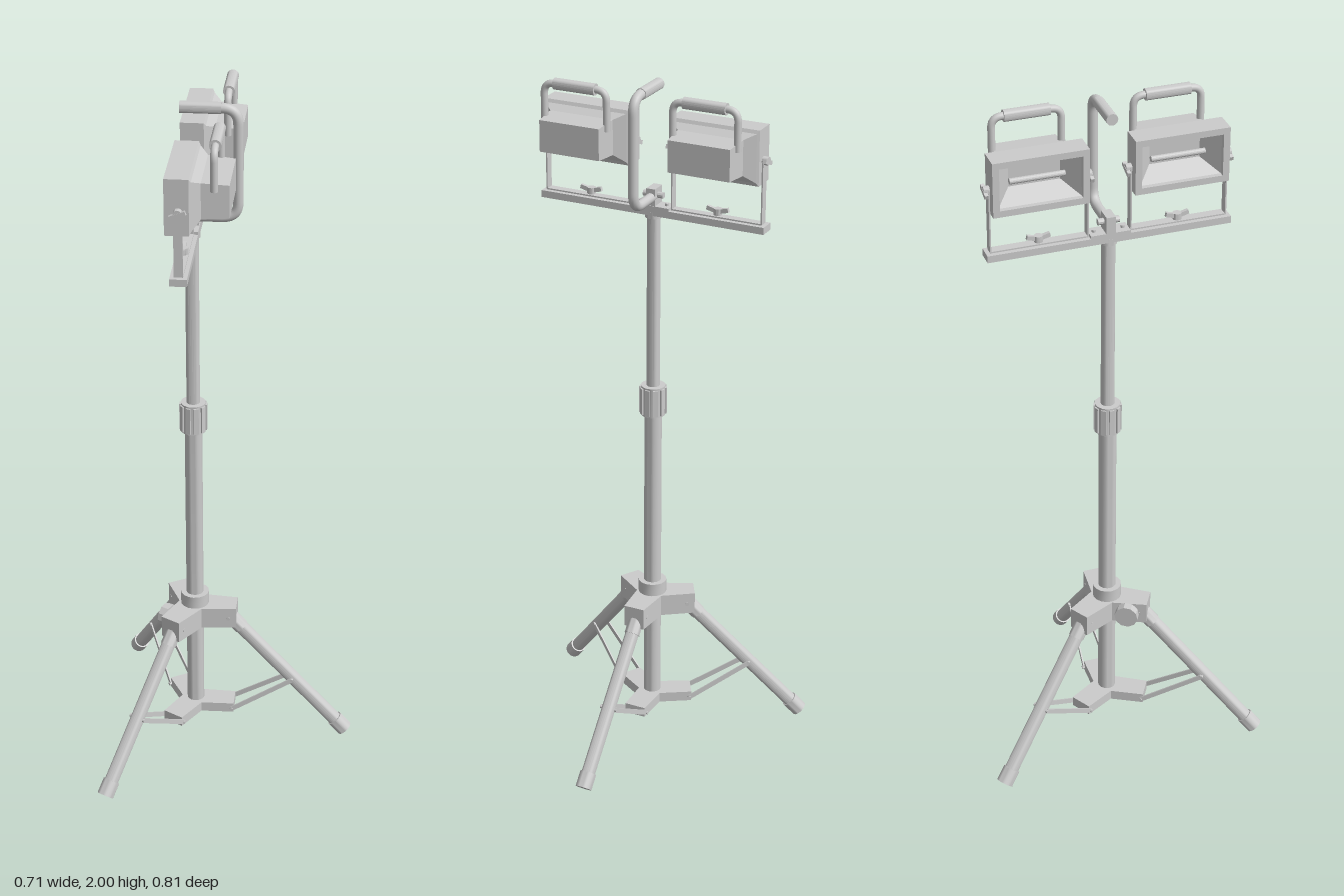
import * as THREE from 'three';
import { toCreasedNormals } from 'three/addons/utils/BufferGeometryUtils.js';

const AXIS = -0.113; // x of the pole
const mat = new THREE.MeshStandardMaterial({ color: 0xcccccc, side: THREE.DoubleSide });
const V = (x, y, z) => new THREE.Vector3(x, y, z);

function add(parent, name, geo, x = 0, y = 0, z = 0) {
  const m = new THREE.Mesh(geo, mat);
  m.name = name;
  m.position.set(x, y, z);
  parent.add(m);
  return m;
}
const box = (p, n, w, h, d, x, y, z) => add(p, n, new THREE.BoxGeometry(w, h, d), x, y, z);
const cyl = (p, n, r, h, x, y, z, sides = 24) =>
  add(p, n, toCreasedNormals(new THREE.CylinderGeometry(r, r, h, sides), 0.6), x, y, z);

// cylinder between two points
function rod(p, name, a, b, r, sides = 24) {
  const m = cyl(p, name, r, a.distanceTo(b), 0, 0, 0, sides);
  m.position.copy(a).lerp(b, 0.5);
  m.quaternion.setFromUnitVectors(V(0, 1, 0), b.clone().sub(a).normalize());
  return m;
}

// tube along straight runs with rounded corners
function bentTube(p, name, pts, corner, r) {
  const path = new THREE.CurvePath();
  let from = pts[0];
  for (let i = 1; i < pts.length - 1; i++) {
    const toward = (q) => pts[i].clone().add(q.clone().sub(pts[i]).setLength(corner));
    const a = toward(pts[i - 1]), b = toward(pts[i + 1]);
    path.add(new THREE.LineCurve3(from, a));
    path.add(new THREE.QuadraticBezierCurve3(a, pts[i], b));
    from = b;
  }
  path.add(new THREE.LineCurve3(from, pts[pts.length - 1]));
  return add(p, name, new THREE.TubeGeometry(path, 72, r, 14));
}

// rectangular rings [x, yMin, yMax, halfZ] joined and capped at both ends
function loftRects(rings) {
  const pos = [];
  const R = rings.map(([x, a, b, z]) => [[x, a, -z], [x, b, -z], [x, b, z], [x, a, z]]);
  const quad = (a, b, c, d) => pos.push(...a, ...b, ...c, ...a, ...c, ...d);
  for (let k = 0; k < R.length - 1; k++)
    for (let i = 0, j; i < 4; i++) {
      j = (i + 1) % 4;
      quad(R[k][i], R[k][j], R[k + 1][j], R[k + 1][i]);
    }
  const s = R[0], e = R[R.length - 1];
  quad(s[3], s[2], s[1], s[0]);
  quad(e[0], e[1], e[2], e[3]);
  const g = new THREE.BufferGeometry();
  g.setAttribute('position', new THREE.Float32BufferAttribute(pos, 3));
  g.computeVertexNormals();
  return g;
}

// three-armed hollow hub, open underneath
function hub(p, name, y, height, reach, half, valley, wall) {
  const outline = (t) => {
    const pts = [];
    for (let k = 0; k < 3; k++) {
      const a = k * Math.PI * 2 / 3, c = Math.cos(a), s = Math.sin(a);
      const at = (u, v) => pts.push(new THREE.Vector2(u * c - v * s, u * s + v * c));
      at((valley - t * 1.15) * 0.5, -(valley - t * 1.15) * 0.866);
      at(reach - t, -half + t);
      at(reach - t, half - t);
    }
    return pts;
  };
  const g = new THREE.Group();
  g.name = name;
  g.position.set(AXIS, y, 0);
  p.add(g);
  const layer = (n, shape, depth, yy) => {
    const geo = new THREE.ExtrudeGeometry(shape, { depth, bevelEnabled: false });
    add(g, n, geo.rotateX(-Math.PI / 2), 0, yy, 0);
  };
  const walls = new THREE.Shape(outline(0));
  walls.holes.push(new THREE.Path(outline(wall)));
  layer('hubWalls', walls, height - wall, 0);
  layer('hubTop', new THREE.Shape(outline(0)), wall, height - wall);
}

function wingNut(p, x, y, z) {
  const g = new THREE.Group();
  g.name = 'wingNut';
  g.position.set(x, y, z);
  cyl(g, 'nutCore', 0.012, 0.018, 0, 0, 0, 12);
  for (const s of [-1, 1]) box(g, 'nutWing', 0.01, 0.012, 0.024, 0, 0.005, s * 0.02).rotation.x = -s * 0.25;
  p.add(g);
  return g;
}

function makeLeg() {
  const leg = new THREE.Group();
  leg.name = 'leg';
  const top = V(0.085, 0.421, 0), foot = V(0.448, 0.016, 0);
  const at = (t) => top.clone().lerp(foot, t);
  rod(leg, 'legTube', top, at(0.97), 0.02);
  rod(leg, 'legCollar', at(0.06), at(0.14), 0.0225);
  rod(leg, 'footCap', at(0.915), foot, 0.024);
  rod(leg, 'hingePin', V(0.1, 0.41, -0.034), V(0.1, 0.41, 0.034), 0.006, 10);
  // paired flat braces down to the lower hub
  const pin = V(0.288, 0.195, 0);
  rod(leg, 'bracePin', pin.clone().setZ(-0.026), pin.clone().setZ(0.026), 0.005, 10);
  for (const s of [-1, 1]) {
    const a = V(0.11, 0.09, s * 0.035), b = pin.clone().setZ(s * 0.022);
    const strip = box(leg, 'brace', 0.004, 0.014, a.distanceTo(b), 0, 0, 0);
    strip.position.copy(a).lerp(b, 0.5);
    strip.lookAt(b);
    rod(leg, 'braceRivet', V(0.11, 0.09, s * 0.03), V(0.11, 0.09, s * 0.04), 0.005, 10);
  }
  return leg;
}

function makeLamp() {
  const lamp = new THREE.Group();
  lamp.name = 'lamp';
  // one skin: reflector floor, opening, rim, frame, tapered housing
  add(lamp, 'housing', loftRects([
    [-0.085, 1.81, 1.865, 0.07], [-0.135, 1.778, 1.897, 0.112], [-0.149, 1.778, 1.897, 0.112],
    [-0.149, 1.76, 1.915, 0.13], [-0.085, 1.76, 1.915, 0.13], [-0.08, 1.77, 1.906, 0.124],
    [-0.058, 1.793, 1.892, 0.095], [0.015, 1.797, 1.886, 0.09],
  ]));
  rod(lamp, 'bulb', V(-0.11, 1.838, -0.075), V(-0.11, 1.838, 0.075), 0.008, 14);
  // carrying handle
  const hx = -0.024;
  bentTube(lamp, 'lampHandle', [V(hx, 1.87, -0.094), V(hx, 1.981, -0.094), V(hx, 1.981, 0.094), V(hx, 1.87, 0.094)], 0.03, 0.01);
  rod(lamp, 'lampGrip', V(hx, 1.981, -0.062), V(hx, 1.981, 0.062), 0.016);
  // U-shaped yoke with side knobs
  box(lamp, 'yokeBase', 0.024, 0.004, 0.268, AXIS, 1.648, 0);
  for (const s of [-1, 1]) {
    box(lamp, 'yokeArm', 0.024, 0.18, 0.004, AXIS, 1.738, s * 0.133);
    rod(lamp, 'knobShaft', V(AXIS, 1.825, s * 0.125), V(AXIS, 1.825, s * 0.146), 0.012, 12);
    box(lamp, 'knobWing', 0.044, 0.012, 0.01, AXIS, 1.822, s * 0.142).rotation.z = 0.35;
  }
  wingNut(lamp, AXIS, 1.661, 0);
  return lamp;
}

export function createModel() {
  const model = new THREE.Group();
  model.name = 'tripodWorkLight';

  // telescopic pole
  cyl(model, 'lowerPole', 0.025, 0.97, AXIS, 0.565, 0);
  cyl(model, 'upperPole', 0.019, 0.6, AXIS, 1.335, 0);
  cyl(model, 'poleLock', 0.035, 0.09, AXIS, 1.065, 0);
  for (let i = 0; i < 10; i++) {
    const a = i * Math.PI / 5;
    const rib = box(model, 'lockRib', 0.01, 0.08, 0.014, AXIS + 0.034 * Math.cos(a), 1.065, 0.034 * Math.sin(a));
    rib.rotation.y = -a;
  }

  // hubs and legs
  hub(model, 'upperHub', 0.38, 0.065, 0.123, 0.031, 0.046, 0.006);
  cyl(model, 'hubCollar', 0.041, 0.04, AXIS, 0.463, 0, 16);
  hub(model, 'lowerHub', 0.077, 0.03, 0.116, 0.032, 0.04, 0.004);
  for (let k = 0; k < 3; k++) {
    const leg = makeLeg();
    leg.position.x = AXIS;
    leg.rotation.y = k * Math.PI * 2 / 3;
    model.add(leg);
  }

  // clamp knob on the side of one hub arm
  const u = V(-0.5, 0, 0.866), n = V(-0.866, 0, -0.5);
  const knobAt = (d) => V(AXIS, 0.415, 0).addScaledVector(u, 0.068).addScaledVector(n, d);
  rod(model, 'clampScrew', knobAt(0.02), knobAt(0.04), 0.014, 12);
  rod(model, 'clampKnob', knobAt(0.038), knobAt(0.062), 0.034, 10);

  // crossbar and its centre mount
  box(model, 'crossbar', 0.046, 0.02, 0.674, AXIS, 1.635, 0);
  cyl(model, 'poleTopCollar', 0.024, 0.02, AXIS, 1.625, 0);
  box(model, 'mountPlate', 0.046, 0.008, 0.11, AXIS, 1.649, 0);
  for (const s of [-1, 1]) cyl(model, 'mountBolt', 0.006, 0.01, AXIS, 1.655, s * 0.04, 10);
  box(model, 'handleMount', 0.046, 0.05, 0.026, AXIS - 0.002, 1.676, 0);
  rod(model, 'handleBolt', V(AXIS, 1.68, -0.03), V(AXIS, 1.68, 0.03), 0.009, 10);

  // central carrying handle
  bentTube(model, 'mainHandle', [V(AXIS, 1.675, 0), V(0.013, 1.675, 0), V(0.013, 1.984, 0), V(-0.13, 1.984, 0)], 0.045, 0.014);
  rod(model, 'mainGrip', V(-0.142, 1.984, 0), V(-0.032, 1.984, 0), 0.016);

  // lamps on both ends of the crossbar
  for (const s of [-1, 1]) {
    const lamp = makeLamp();
    lamp.position.z = s * 0.192;
    model.add(lamp);
  }
  return model;
}
